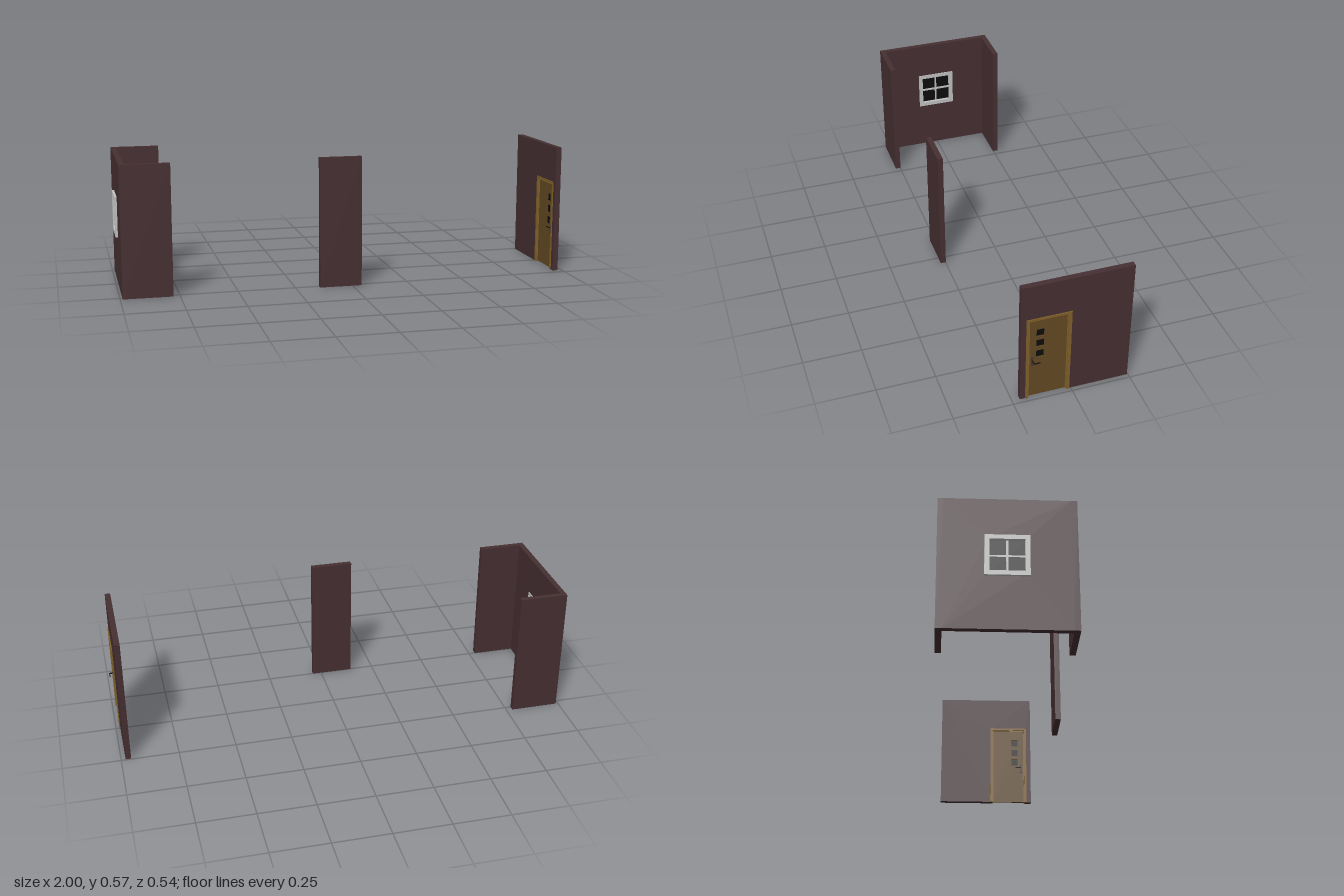
import * as THREE from 'three';

const mat = (name, color) => {
  const m = new THREE.MeshStandardMaterial({ color });
  m.name = name;
  return m;
};

export function createModel() {
  const model = new THREE.Group();
  const wallMat = mat('wallBrown', 0x462f32);
  const frameMat = mat('doorFrameWood', 0x82622a);
  const leafMat = mat('doorLeafWood', 0x644a23);
  const glassMat = mat('darkGlass', 0x0d0d0d);
  const windowMat = mat('windowFrameGrey', 0xc4c4c4);
  const metalMat = mat('handleMetal', 0x4a3838);
  const leverMat = mat('leverDark', 0x1c1616);
  const H = 0.567;

  // Box given by its minimum and maximum on each axis
  const box = (name, m, [x0, x1], [y0, y1], [z0, z1], parent = model) => {
    const mesh = new THREE.Mesh(new THREE.BoxGeometry(x1 - x0, y1 - y0, z1 - z0), m);
    mesh.position.set((x0 + x1) / 2, (y0 + y1) / 2, (z0 + z1) / 2);
    mesh.name = name;
    parent.add(mesh);
  };

  // Upright slab from a (z, y) outline with holes, between x0 and x1
  const slab = (name, m, x0, x1, outline, holes = [], parent = model) => {
    const pts = (a) => a.map(([z, y]) => new THREE.Vector2(z, y));
    const shape = new THREE.Shape(pts(outline));
    holes.forEach((h) => shape.holes.push(new THREE.Path(pts(h))));
    const geo = new THREE.ExtrudeGeometry(shape, { depth: x1 - x0, bevelEnabled: false });
    const mesh = new THREE.Mesh(geo, m);
    mesh.rotation.y = -Math.PI / 2;
    mesh.position.x = x1;
    mesh.name = name;
    parent.add(mesh);
  };
  const rect = (z0, z1, y0, y1) => [[z0, y0], [z1, y0], [z1, y1], [z0, y1]];
  // Portal outline: an upside-down U
  const portal = (z0, z1, top, i0, i1, iTop) => [
    [z0, 0], [i0, 0], [i0, iTop], [i1, iTop], [i1, 0], [z1, 0], [z1, top], [z0, top],
  ];

  // U-shaped walls with the window opening
  slab('windowWall', wallMat, -0.99, -0.966, rect(-0.248, 0.248, 0, H),
    [rect(-0.077, 0.073, 0.239, 0.389)]);
  for (const [name, z] of [['backReturnWall', [-0.272, -0.248]], ['frontReturnWall', [0.248, 0.272]]]) {
    box(name, wallMat, [-0.99, -0.778], [0, H], z);
  }

  // Free-standing front panel
  box('frontPanel', wallMat, [-0.145, 0.04], [0, H], [0.248, 0.272]);

  // Window: outer frame, sash bars and glass
  const win = new THREE.Group();
  win.name = 'window';
  model.add(win);
  slab('windowFrame', windowMat, -1, -0.963, rect(-0.09, 0.086, 0.226, 0.402),
    [rect(-0.071, 0.067, 0.245, 0.383)], win);
  box('windowGlass', glassMat, [-0.982, -0.976], [0.24, 0.388], [-0.075, 0.071], win);
  box('windowCrossbar', windowMat, [-0.988, -0.97], [0.31, 0.318], [-0.071, 0.067], win);
  box('windowMullion', windowMat, [-0.987, -0.971], [0.245, 0.383], [-0.006, 0.002], win);

  // Door wall with an opening reaching the floor
  slab('doorWall', wallMat, 0.957, 0.981, portal(-0.246, 0.217, H, 0.014, 0.19, 0.402));

  // Door: stepped frame, leaf with three small panes
  const door = new THREE.Group();
  door.name = 'door';
  model.add(door);
  slab('doorFrame', frameMat, 0.954, 0.985, portal(0.008, 0.195, 0.407, 0.02, 0.184, 0.397), [], door);
  slab('doorStop', frameMat, 0.96, 0.978, portal(0.018, 0.186, 0.398, 0.024, 0.179, 0.391), [], door);
  const panes = [0.203, 0.257, 0.31].map((y) => rect(0.118, 0.15, y, y + 0.033));
  slab('doorLeaf', leafMat, 0.964, 0.975, rect(0.022, 0.181, 0.003, 0.393), panes, door);
  panes.forEach((p) => box('doorPane', glassMat, [0.967, 0.972], [p[0][1], p[2][1]], [0.118, 0.15], door));

  // Handle on both faces: plate, stem and lever
  for (const [face, out, reach] of [[0.975, 1, 0.025], [0.964, -1, 0.012]]) {
    const span = (a, b) => [face + out * a, face + out * b].sort((p, q) => p - q);
    box('handlePlate', metalMat, span(0, 0.004), [0.163, 0.209], [0.162, 0.171], door);
    box('handleStem', leverMat, span(0.004, reach), [0.188, 0.192], [0.164, 0.168], door);
    box('handleLever', leverMat, span(reach - 0.004, reach), [0.188, 0.192], [0.14, 0.168], door);
  }
  return model;
}
